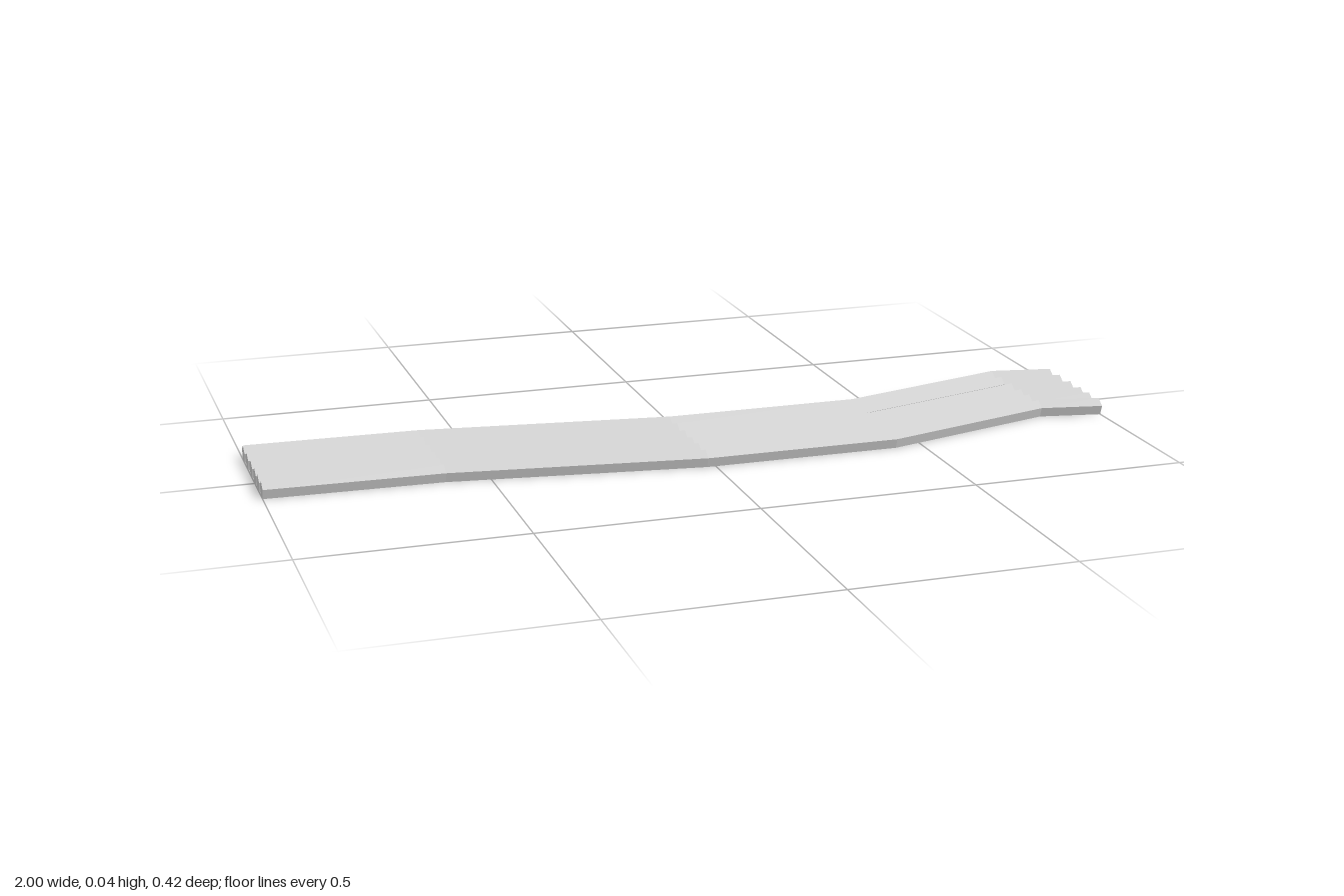
import * as THREE from 'three';

const SIDES = 5;
const RADIUS = 0.0205;
const AXIS_Y = RADIUS * Math.cos(Math.PI / SIDES); // rests on the flat underside

// Bends shared by all strands: [x, sideways shift in z]
const BENDS = [[-1, -0.003], [-0.6, 0.008], [-0.02, 0.087], [0.435, 0.089], [0.855, -0.028], [1, 0]];

// Strand positions across the bundle
const STRANDS = [0.101, 0.051, 0.006, -0.048, -0.107, -0.162];

// Pentagonal bar swept along the bends, closed at both ends
function strandGeometry() {
  const positions = [];
  const index = [];
  for (const [x, z] of BENDS) {
    for (let j = 0; j < SIDES; j++) {
      const a = (j / SIDES) * Math.PI * 2;
      positions.push(x, AXIS_Y + RADIUS * Math.cos(a), z + RADIUS * Math.sin(a));
    }
  }
  for (let i = 0; i < BENDS.length - 1; i++) {
    for (let j = 0; j < SIDES; j++) {
      const a = i * SIDES + j;
      const b = i * SIDES + (j + 1) % SIDES;
      index.push(a, b, a + SIDES, b, b + SIDES, a + SIDES);
    }
  }
  // End caps
  const last = (BENDS.length - 1) * SIDES;
  for (let j = 1; j < SIDES - 1; j++) {
    index.push(0, j + 1, j);
    index.push(last, last + j, last + j + 1);
  }
  const indexed = new THREE.BufferGeometry();
  indexed.setAttribute('position', new THREE.Float32BufferAttribute(positions, 3));
  indexed.setIndex(index);
  const geometry = indexed.toNonIndexed();
  geometry.computeVertexNormals();
  return geometry;
}

export function createModel() {
  const model = new THREE.Group();
  model.name = 'strandBundle';
  const material = new THREE.MeshStandardMaterial({ color: 0xcccccc, flatShading: true });
  const geometry = strandGeometry();
  STRANDS.forEach((z, i) => {
    const strand = new THREE.Mesh(geometry, material);
    strand.name = `strand${i + 1}`;
    strand.position.z = z;
    model.add(strand);
  });
  return model;
}
